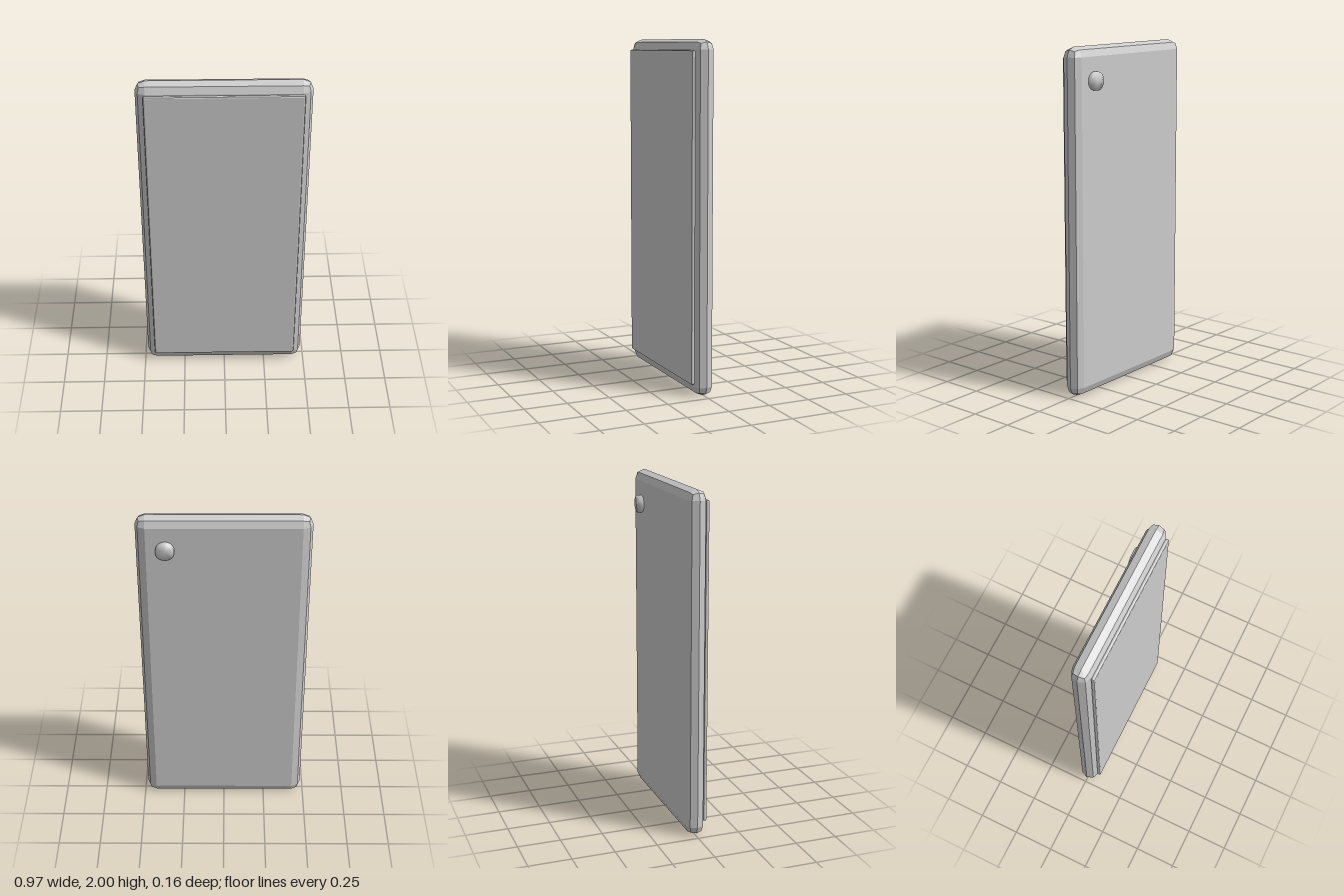
import * as THREE from 'three';
import { RoundedBoxGeometry } from 'three/addons/geometries/RoundedBoxGeometry.js';
import { mergeVertices } from 'three/addons/utils/BufferGeometryUtils.js';

export function createModel() {
  const model = new THREE.Group();
  model.name = 'tabletPhone';

  const casing = new THREE.MeshStandardMaterial({ color: 0xcccccc, flatShading: true });
  casing.name = 'light grey';
  const lensGrey = new THREE.MeshStandardMaterial({ color: 0xcccccc });
  lensGrey.name = 'light grey smooth';

  const add = (name, geometry, material, x, y, z) => {
    const mesh = new THREE.Mesh(geometry, material);
    mesh.name = name;
    mesh.position.set(x, y, z);
    model.add(mesh);
  };

  // Slab with a wide two-step bevel meeting in a ridge around the rim
  add('body', new RoundedBoxGeometry(0.966, 2, 0.112, 1, 0.056), casing, 0, 1, 0.002);

  // Raised screen panel with a fine bevel
  add('screen', new RoundedBoxGeometry(0.876, 1.87, 0.022, 1, 0.009), casing, 0, 1.004, 0.066);

  // Camera lens on the back, with normals shared across its rim
  let lens = new THREE.CylinderGeometry(0.052, 0.052, 0.05, 32);
  lens.deleteAttribute('normal');
  lens.deleteAttribute('uv');
  lens = mergeVertices(lens);
  lens.computeVertexNormals();
  lens.rotateX(-Math.PI / 2);
  add('cameraLens', lens, lensGrey, 0.321, 1.81, -0.054);

  return model;
}
